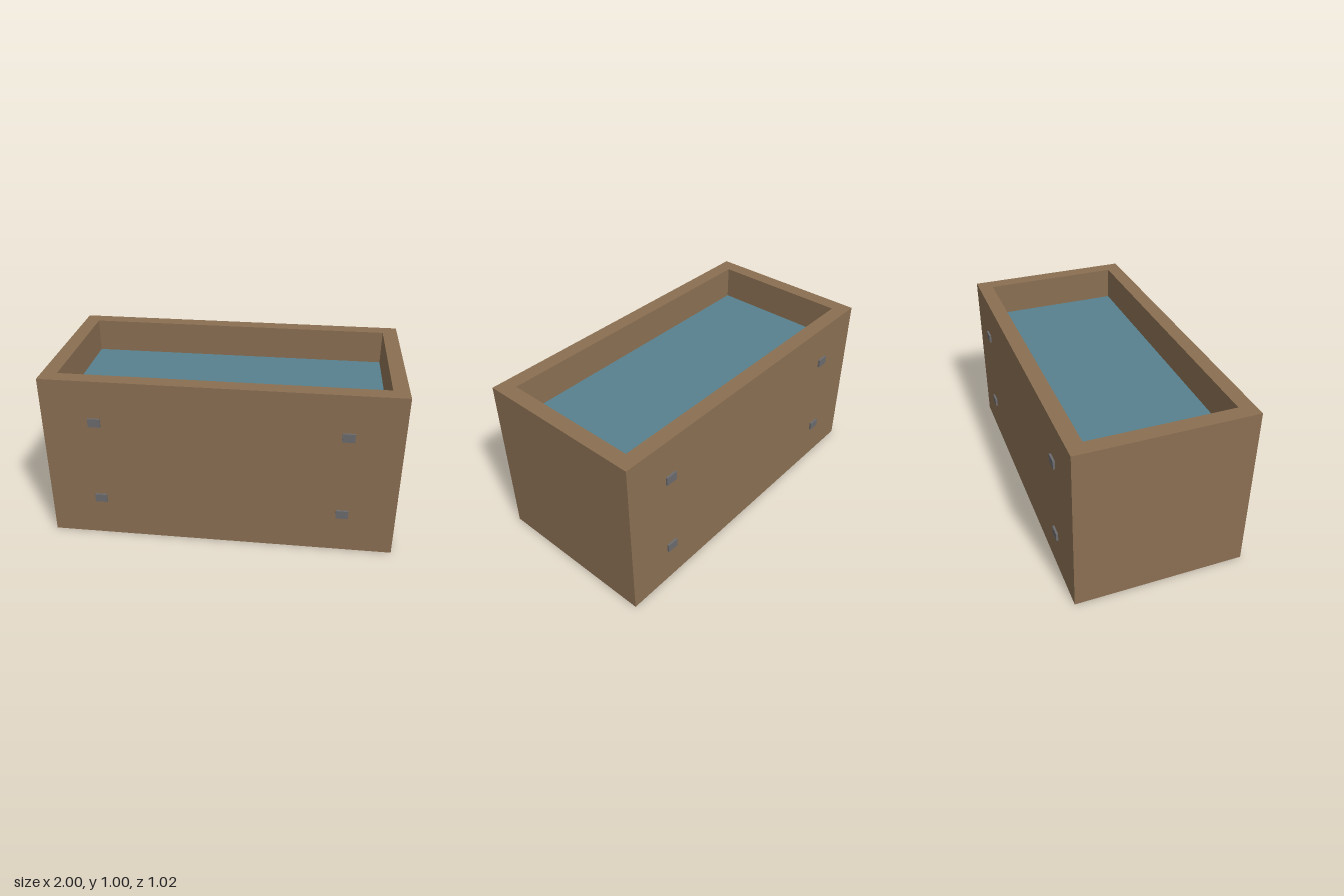
import * as THREE from 'three';

const material = (name, color) => {
  const m = new THREE.MeshStandardMaterial({ color });
  m.name = name;
  return m;
};

export function createModel() {
  const wood = material('brown wood', 0x8a6f52);
  const water = material('blue water', 0x57808d);
  const metal = material('grey metal', 0x6b6b6e);

  const model = new THREE.Group();
  model.name = 'waterTank';

  const addBox = (name, mat, size, position) => {
    const mesh = new THREE.Mesh(new THREE.BoxGeometry(...size), mat);
    mesh.name = name;
    mesh.position.set(...position);
    model.add(mesh);
  };

  // Four walls: a rectangular frame extruded upwards
  const width = 2, depth = 1, height = 1, wall = 0.088;
  const innerW = width - 2 * wall, innerD = depth - 2 * wall;
  const rectangle = (Type, w, d) => new Type([
    new THREE.Vector2(-w / 2, -d / 2), new THREE.Vector2(w / 2, -d / 2),
    new THREE.Vector2(w / 2, d / 2), new THREE.Vector2(-w / 2, d / 2),
  ]);
  const outline = rectangle(THREE.Shape, width, depth);
  outline.holes.push(rectangle(THREE.Path, innerW, innerD));
  const frame = new THREE.ExtrudeGeometry(outline, { depth: height, bevelEnabled: false });
  frame.rotateX(-Math.PI / 2);
  const walls = new THREE.Mesh(frame, wood);
  walls.name = 'walls';
  model.add(walls);

  // Floor between the walls, with the water standing on it
  const floorTop = 0.09, waterTop = 0.8;
  addBox('floor', wood, [innerW, floorTop, innerD], [0, floorTop / 2, 0]);
  addBox('water', water, [innerW, waterTop - floorTop, innerD], [0, (waterTop + floorTop) / 2, 0]);

  // Metal studs on the front and back walls
  for (const side of [1, -1])
    for (const x of [-0.7, 0.7])
      for (const y of [0.25, 0.75])
        addBox('stud', metal, [0.07, 0.05, 0.012], [x, y, side * (depth / 2 + 0.006)]);

  return model;
}
